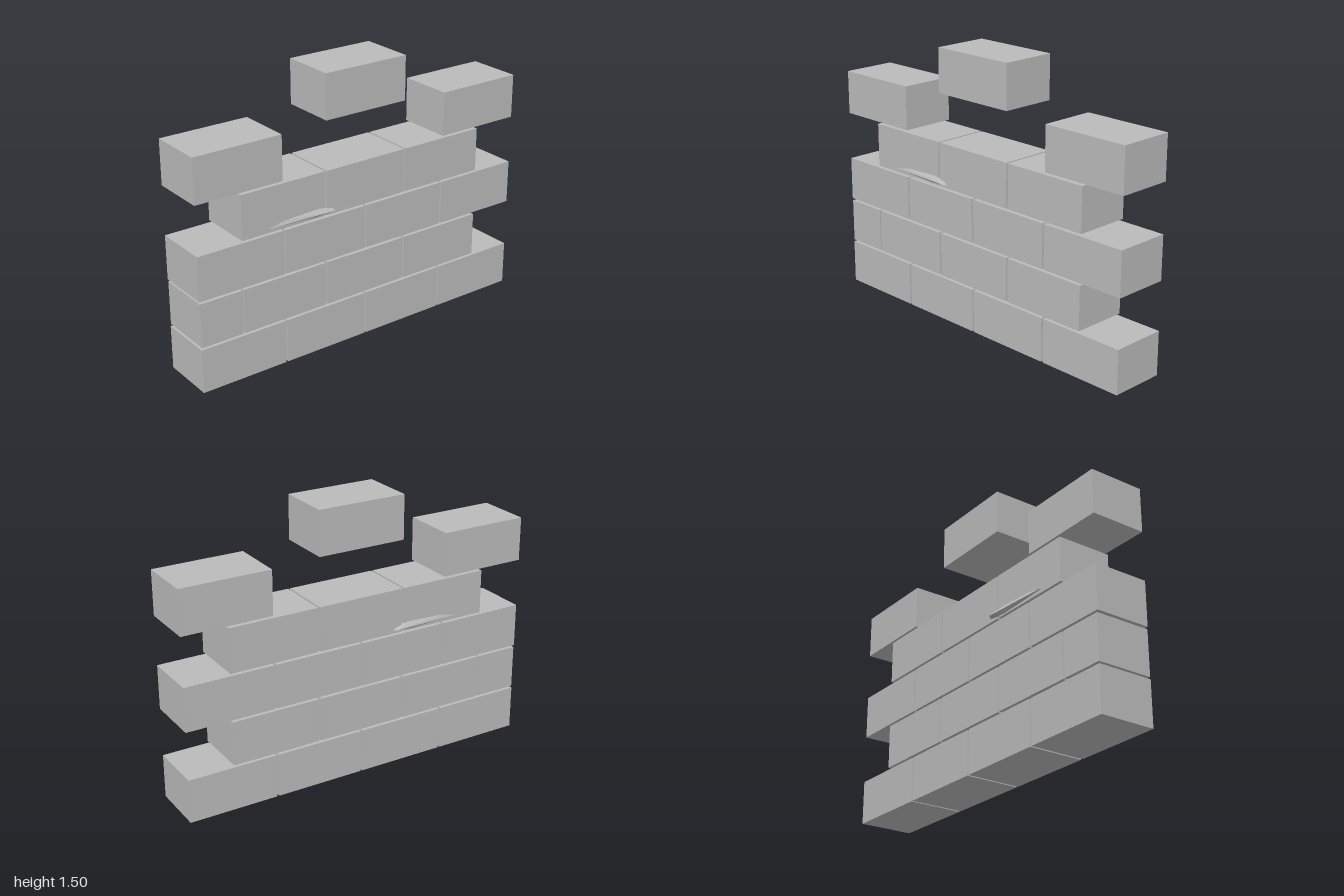
import * as THREE from 'three';
import { ConvexGeometry } from 'three/addons/geometries/ConvexGeometry.js';

const BRICK = { w: 0.492, h: 0.24, d: 0.304 };
const PITCH_X = 0.503, PITCH_Y = 0.252;

export function createModel() {
  const wall = new THREE.Group();
  wall.name = 'brokenBrickWall';
  const stone = new THREE.MeshStandardMaterial({ color: 0xbbbbbb });
  stone.name = 'grey stone';

  const fullBrick = new THREE.BoxGeometry(BRICK.w, BRICK.h, BRICK.d);
  const halfBrick = new THREE.BoxGeometry(0.24, BRICK.h, BRICK.d);

  const addBrick = (name, geometry, x, row) => {
    const brick = new THREE.Mesh(geometry, stone);
    brick.name = name;
    brick.position.set(x, row * PITCH_Y + BRICK.h / 2, 0);
    wall.add(brick);
  };

  // Brick positions in each course, counted in brick pitches from the middle
  const courses = [
    [-1.5, -0.5, 0.5, 1.5],
    [-1, 0, 1],
    [-1.5, -0.5, 0.5, 1.5],
    [-1, 0, 1],
    [-1.5, 1.5],
    [0],
  ];
  courses.forEach((course, row) => {
    for (const i of course) addBrick('brick', fullBrick, i * PITCH_X - 0.002, row);
  });

  // Half brick closing the second course
  addBrick('halfBrick', halfBrick, -0.88, 1);

  // Faceted lump wedged in the joint, bulging out of both faces
  const points = [
    new THREE.Vector3(-0.5, 0.72, 0),
    new THREE.Vector3(-0.25, 0.83, 0),
  ];
  for (const side of [1, -1]) {
    points.push(
      new THREE.Vector3(-0.72, 0.752, side * 0.07),
      new THREE.Vector3(-0.14, 0.752, side * 0.07),
      new THREE.Vector3(-0.59, 0.778, side * 0.157),
      new THREE.Vector3(-0.21, 0.78, side * 0.176),
      new THREE.Vector3(-0.29, 0.804, side * 0.155),
      new THREE.Vector3(-0.5, 0.796, side * 0.154),
      new THREE.Vector3(-0.3, 0.765, side * 0.155),
    );
  }
  const lump = new THREE.Mesh(new ConvexGeometry(points), stone);
  lump.name = 'mortarLump';
  wall.add(lump);

  return wall;
}
